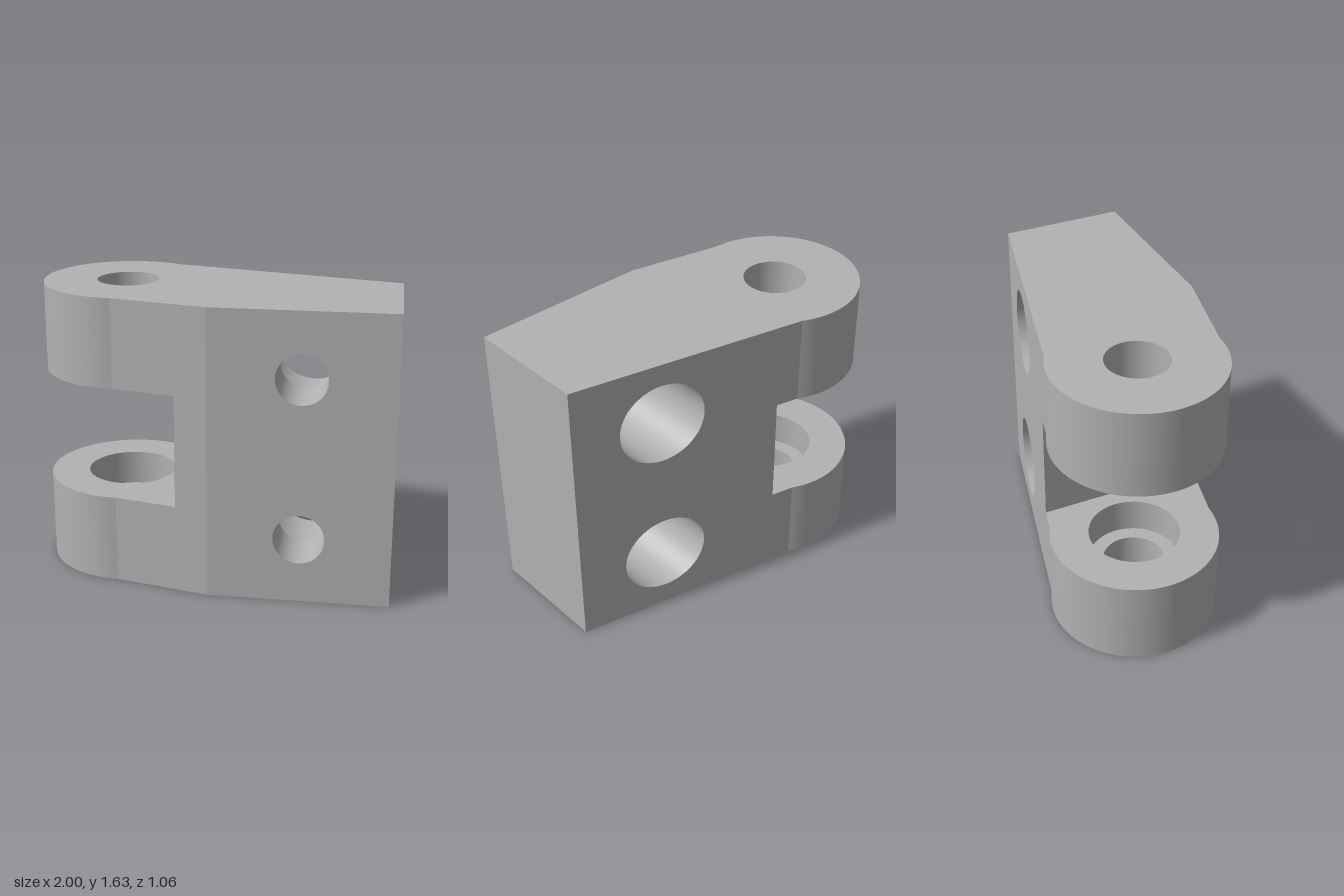
import * as THREE from 'three';
import { toCreasedNormals } from 'three/addons/utils/BufferGeometryUtils.js';

const HEIGHT = 1.635, LUG = 0.5, SLOT_X = -0.18;
const PIN = { x: -0.53, z: -0.06, r: 0.172, bore: 0.253, depth: 0.2 };
const BOLT = { x: 0.5, ys: [0.367, 1.268], r: 0.14, bore: 0.24, ledge: 0.22 };
const FRONT = 0.53;
const backZ = x => -0.16 - 0.2405 * (1 - x); // slanted rear face

const metal = new THREE.MeshStandardMaterial({ color: 0xb2b2b2 });
metal.name = 'grey metal';

function circle(x, y, r) {
  const path = new THREE.Path();
  path.absarc(x, y, r, 0, Math.PI * 2, false);
  return path;
}

function extrude(shape, depth) {
  return new THREE.ExtrudeGeometry(shape, { depth, bevelEnabled: false, curveSegments: 64 });
}

function part(name, geometry) {
  const mesh = new THREE.Mesh(toCreasedNormals(geometry, 0.2), metal);
  mesh.name = name;
  return mesh;
}

// Plan outline (x, z) raised from y0 to y1
function slab(name, shape, y0, y1) {
  return part(name, extrude(shape, y1 - y0).rotateX(Math.PI / 2).translate(0, y1, 0));
}

// Rounded lug in plan, with a pin hole
function lugShape(radius) {
  const s = new THREE.Shape();
  s.moveTo(SLOT_X, backZ(SLOT_X));
  s.lineTo(-0.31, backZ(-0.31));
  s.absarc(PIN.x, PIN.z, 0.47, -1.083, Math.PI / 2, true);
  s.lineTo(SLOT_X, 0.489);
  s.closePath();
  s.holes.push(circle(PIN.x, PIN.z, radius));
  return s;
}

// Block half in elevation, with two bolt holes
function blockShape(radius) {
  const s = new THREE.Shape();
  s.moveTo(0, 0);
  s.lineTo(1, 0);
  s.lineTo(1, HEIGHT);
  s.lineTo(0, HEIGHT);
  s.closePath();
  BOLT.ys.forEach(y => s.holes.push(circle(BOLT.x, y, radius)));
  return s;
}

export function createModel() {
  const model = new THREE.Group();
  model.name = 'clevisBracket';

  // Fork lugs: narrow pin hole outside, wide counterbore facing the slot
  const inner = LUG - PIN.depth;
  model.add(
    slab('lowerLug', lugShape(PIN.r), 0, inner),
    slab('lowerLugCounterbore', lugShape(PIN.bore), inner, LUG),
    slab('upperLugCounterbore', lugShape(PIN.bore), HEIGHT - LUG, HEIGHT - inner),
    slab('upperLug', lugShape(PIN.r), HEIGHT - inner, HEIGHT)
  );

  // Web closing the slot
  const web = new THREE.Shape([
    new THREE.Vector2(SLOT_X, backZ(SLOT_X)), new THREE.Vector2(0, backZ(0)),
    new THREE.Vector2(0, FRONT), new THREE.Vector2(SLOT_X, 0.489)
  ]);
  model.add(slab('slotWeb', web, 0, HEIGHT));

  // Front of the mounting block with the narrow bolt holes
  const front = extrude(blockShape(BOLT.r), FRONT - BOLT.ledge).translate(0, 0, BOLT.ledge);
  model.add(part('blockFront', front));

  // Rear of the block with wide counterbores; its back face follows the slant
  const rear = extrude(blockShape(BOLT.bore), 1);
  const p = rear.attributes.position;
  for (let i = 0; i < p.count; i++) {
    p.setZ(i, p.getZ(i) > 0.5 ? BOLT.ledge : backZ(p.getX(i)));
  }
  model.add(part('blockRear', rear));

  return model;
}
